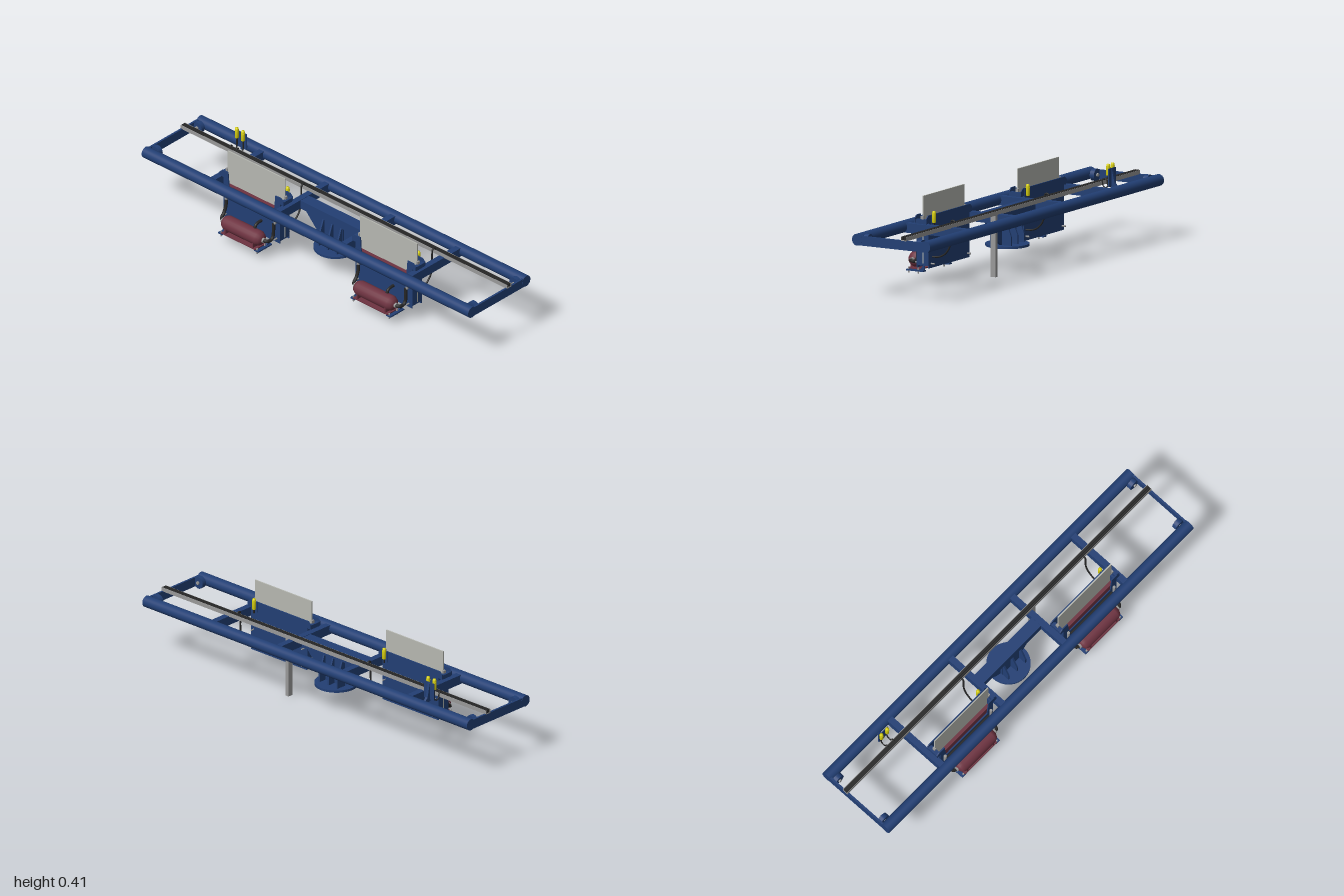
import * as THREE from 'three';

export function createModel() {
  const root = new THREE.Group();
  const mat = (name, color, side = THREE.FrontSide) => {
    const m = new THREE.MeshStandardMaterial({ color, side });
    m.name = name;
    return m;
  };
  const blue = mat('frame blue', 0x223f74);
  const maroon = mat('tank maroon', 0x6e3341);
  const grey = mat('metal grey', 0x999999);
  const pale = mat('sheet grey', 0xb6b8b1);
  const yellow = mat('sensor yellow', 0xdcd412);
  const black = mat('hose black', 0x262626);

  const add = (parent, name, geo, material) => {
    const m = new THREE.Mesh(geo, material);
    m.name = name;
    parent.add(m);
    return m;
  };
  // box given by its minimum and maximum corners
  const box = (p, name, x0, x1, y0, y1, z0, z1, m) =>
    add(p, name, new THREE.BoxGeometry(x1 - x0, y1 - y0, z1 - z0), m)
      .position.set((x0 + x1) / 2, (y0 + y1) / 2, (z0 + z1) / 2);
  const cyl = (p, name, axis, r, len, x, y, z, m, seg = 20) => {
    const g = new THREE.CylinderGeometry(r, r, len, seg);
    if (axis === 'x') g.rotateZ(Math.PI / 2);
    if (axis === 'z') g.rotateX(Math.PI / 2);
    add(p, name, g, m).position.set(x, y, z);
  };
  const hose = (p, name, pts, r, m = black) =>
    add(p, name, new THREE.TubeGeometry(
      new THREE.CatmullRomCurve3(pts.map(a => new THREE.Vector3(...a)), false, 'centripetal'), 32, r, 10), m);
  const extrude = (pts, depth) => new THREE.ExtrudeGeometry(
    new THREE.Shape(pts.map(a => new THREE.Vector2(...a))), { depth, bevelEnabled: false });
  // plate drawn in (z, y), standing from x to x + t
  const sidePlate = (p, name, pts, x, t, m) =>
    add(p, name, extrude(pts, t).rotateY(-Math.PI / 2).translate(x + t, 0, 0), m);
  // plate drawn in (x, y), centred on z
  const crossPlate = (p, name, pts, z, t, m) =>
    add(p, name, extrude(pts, t).translate(0, 0, z - t / 2), m);

  // Main ladder frame
  const frame = new THREE.Group();
  frame.name = 'frame';
  root.add(frame);
  for (const x of [-0.177, 0.183]) cyl(frame, 'longTube', 'z', 0.027, 2, x, 0.265, 0, blue, 28);
  for (const z of [-0.605, -0.205, 0.2, 0.6])
    box(frame, 'crossBeam', -0.165, 0.17, 0.24, 0.284, z - 0.015, z + 0.015, blue);
  for (const s of [-1, 1]) {
    box(frame, 'endPlate', -0.178, 0.184, 0.24, 0.284, s * 0.994 - 0.005, s * 0.994 + 0.005, blue);
    for (const x of [-0.137, 0.143]) {
      cyl(frame, 'endLug', 'x', 0.028, 0.022, x, 0.263, s * 0.97, blue);
      cyl(frame, 'lugPin', 'x', 0.008, 0.036, x, 0.263, s * 0.97, grey, 12);
    }
  }
  box(frame, 'centreBeam', -0.027, 0.03, 0.24, 0.282, -0.2, 0.2, blue);

  // Centre pedestal with gussets on a round foot
  const pedestal = new THREE.Group();
  pedestal.name = 'pedestal';
  root.add(pedestal);
  cyl(pedestal, 'foot', 'y', 0.1, 0.011, 0, 0.108, 0, blue, 36);
  box(pedestal, 'post', -0.017, 0.017, 0.11, 0.242, -0.06, 0.06, blue);
  sidePlate(pedestal, 'longGusset',
    [[-0.06, 0.113], [0.06, 0.113], [0.085, 0.13], [0.19, 0.242], [-0.19, 0.242], [-0.085, 0.13]], -0.008, 0.016, blue);
  for (const z of [-0.055, 0, 0.055])
    crossPlate(pedestal, 'crossGusset',
      [[-0.055, 0.113], [0.055, 0.113], [0.055, 0.155], [0.022, 0.242], [-0.022, 0.242], [-0.055, 0.155]], z, 0.008, blue);

  // Two gate housings, each with a sliding sheet and an air tank
  const gate = (zc) => {
    const g = new THREE.Group();
    g.name = 'gateUnit';
    g.position.z = zc;
    root.add(g);
    sidePlate(g, 'innerWall', [[-0.173, 0.08], [0.173, 0.08], [0.173, 0.288], [0.195, 0.288], [0.195, 0.308],
      [0.18, 0.322], [-0.18, 0.322], [-0.195, 0.308], [-0.195, 0.288], [-0.173, 0.288]], -0.061, 0.005, blue);
    sidePlate(g, 'outerWall', [[-0.173, 0.08], [0.173, 0.08], [0.173, 0.288], [0.195, 0.288], [0.195, 0.308],
      [0.18, 0.322], [0.145, 0.322], [0.135, 0.21], [-0.135, 0.21], [-0.145, 0.322], [-0.18, 0.322],
      [-0.195, 0.308], [-0.195, 0.288], [-0.173, 0.288]], -0.121, 0.005, blue);
    box(g, 'floor', -0.117, -0.06, 0.09, 0.096, -0.17, 0.17, blue);
    for (const s of [-1, 1]) {
      box(g, 'endWall', -0.117, -0.06, 0.092, 0.286, s * 0.17 - 0.004, s * 0.17 + 0.004, blue);
      box(g, 'topBar', -0.117, -0.06, 0.284, 0.304, s * 0.184 - 0.009, s * 0.184 + 0.009, blue);
      box(g, 'sheetGuide', -0.094, -0.08, 0.3, 0.318, s * 0.178 - 0.005, s * 0.178 + 0.005, grey);
      cyl(g, 'guideBolt', 'x', 0.004, 0.1, -0.088, 0.1, s * 0.155, grey, 8);
      cyl(g, 'wallBolt', 'x', 0.003, 0.022, -0.05, 0.182, s * 0.155, grey, 8);
      cyl(g, 'actuator', 'y', 0.007, 0.06, -0.129, 0.21, s * 0.15, grey, 14);
    }
    box(g, 'sheet', -0.09, -0.084, 0.1, 0.41, -0.175, 0.175, pale);
    for (const x of [-0.106, -0.071])
      box(g, 'lining', x - 0.008, x + 0.008, 0.11, 0.25, -0.16, 0.16, maroon);
    cyl(g, 'airManifold', 'z', 0.008, 0.27, -0.13, 0.2, 0, black, 12);

    // Air tank with domed ends
    const profile = [[0, -0.122], [0.014, -0.12], [0.028, -0.112], [0.036, -0.096],
      [0.036, 0.096], [0.028, 0.112], [0.014, 0.12], [0, 0.122]].map(a => new THREE.Vector2(...a));
    add(g, 'airTank', new THREE.LatheGeometry(profile, 20).rotateX(Math.PI / 2), maroon).position.set(-0.175, 0.101, 0);
    box(g, 'tankBase', -0.21, -0.14, 0.056, 0.061, -0.105, 0.105, maroon);
    for (const s of [-1, 1]) {
      box(g, 'tankSaddle', -0.207, -0.143, 0.058, 0.09, s * 0.085 - 0.004, s * 0.085 + 0.004, maroon);
      box(g, 'tankArm', -0.21, -0.118, 0.05, 0.056, s * 0.11 - 0.013, s * 0.11 + 0.013, blue);
      crossPlate(g, 'armBrace', [[-0.145, 0.054], [-0.118, 0.054], [-0.118, 0.085]], s * 0.11, 0.006, blue);
      for (const x of [-0.203, -0.152]) cyl(g, 'tankBolt', 'y', 0.004, 0.028, x, 0.052, s * 0.11, grey, 8);
      cyl(g, 'tankPort', 'z', 0.012, 0.012, -0.175, 0.101, s * 0.123, grey, 12);
    }
    hose(g, 'tankHose', [[-0.178, 0.101, 0.12], [-0.172, 0.101, 0.14], [-0.148, 0.101, 0.145],
      [-0.135, 0.115, 0.145], [-0.132, 0.15, 0.145], [-0.131, 0.185, 0.145]], 0.008);
    hose(g, 'returnHose', [[-0.165, 0.13, 0.06], [-0.158, 0.147, 0.06], [-0.145, 0.153, 0.06], [-0.118, 0.155, 0.06]], 0.007);
    hose(g, 'rearHose', [[-0.175, 0.101, -0.12], [-0.168, 0.104, -0.14], [-0.148, 0.12, -0.145],
      [-0.135, 0.15, -0.145], [-0.131, 0.185, -0.145]], 0.008);
  };
  gate(0.407);
  gate(-0.403);

  // Cable tray with its drop post
  box(root, 'trayFloor', 0.055, 0.083, 0.282, 0.286, -1, 1, grey);
  for (const x of [0.055, 0.081]) box(root, 'trayWall', x, x + 0.002, 0.284, 0.301, -1, 1, grey);
  for (const x of [0.063, 0.0745]) box(root, 'cableRun', x - 0.0052, x + 0.0052, 0.286, 0.302, -0.998, 0.998, black);
  box(root, 'dropPost', 0.055, 0.083, 0, 0.284, 0.218, 0.235, grey);

  // Yellow sensor: domed body on a black stem
  const sensor = (x, y, z) => {
    const p = [[0, 0], [0.009, 0], [0.009, 0.042], [0.007, 0.051], [0, 0.053]].map(a => new THREE.Vector2(...a));
    add(root, 'sensor', new THREE.LatheGeometry(p, 14), yellow).position.set(x, y, z);
    cyl(root, 'sensorRing', 'y', 0.0097, 0.004, x, y + 0.036, z, yellow, 14);
  };
  for (const z of [0.552, -0.25]) {
    sensor(-0.047, 0.287, z);
    box(root, 'sensorTab', -0.058, -0.054, 0.27, 0.322, z - 0.012, z + 0.012, blue);
    cyl(root, 'sensorStem', 'y', 0.004, 0.02, -0.047, 0.278, z, black, 8);
    hose(root, 'signalHose', [[0.066, 0.298, z], [0.058, 0.306, z], [0.046, 0.304, z], [0.043, 0.285, z],
      [0.042, 0.22, z], [0.033, 0.178, z], [0.01, 0.148, z], [-0.02, 0.133, z], [-0.058, 0.13, z]], 0.004);
  }

  // Twin sensor stand beside the tray
  crossPlate(root, 'sensorBracket', [[0.124, 0.27], [0.165, 0.27], [0.144, 0.293], [0.128, 0.362], [0.124, 0.362]], -0.69, 0.012, blue);
  box(root, 'sensorBackPlate', 0.124, 0.128, 0.28, 0.362, -0.72, -0.66, blue);
  for (const z of [-0.674, -0.712]) {
    sensor(0.116, 0.33, z);
    cyl(root, 'sensorStem', 'y', 0.004, 0.04, 0.118, 0.312, z, black, 8);
    hose(root, 'sensorLead', [[0.118, 0.3, z], [0.114, 0.28, z], [0.1, 0.272, z], [0.088, 0.282, z],
      [0.085, 0.3, z], [0.078, 0.306, z], [0.07, 0.298, z]], 0.003);
  }
  return root;
}
